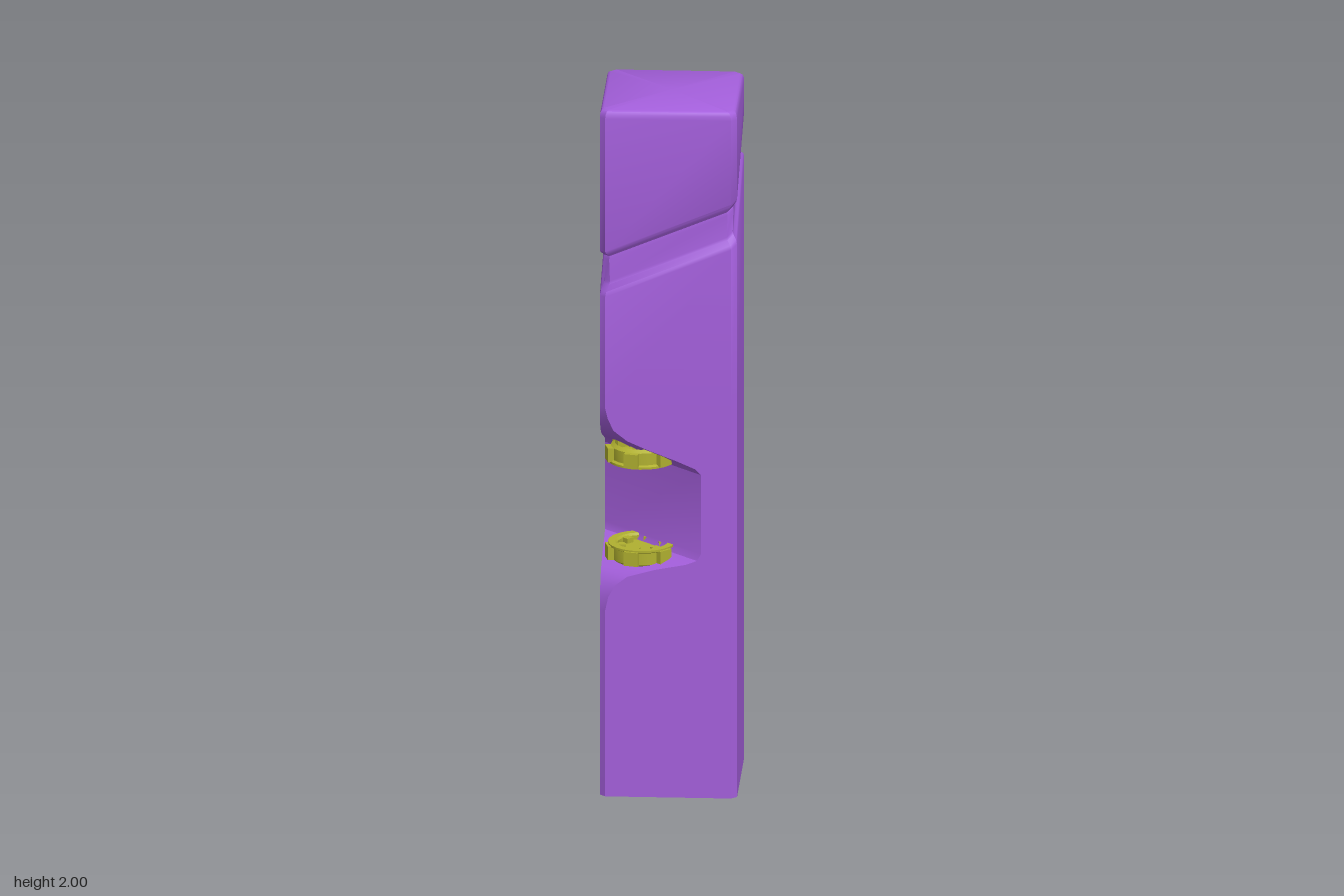
import * as THREE from 'three';
import { toCreasedNormals } from 'three/addons/utils/BufferGeometryUtils.js';

const CLIP = 0.258; // distance of the chamfered corners from the axis
const SIDE = 0.269; // |x| + |z| on the flat sides
const TILT = 0.58; // slope of the slanted band

// One diamond cross-section; "front" pushes the front corner back to form the notch
function ring({ y, inset = 0, front = CLIP, tilt = 0 }) {
  const s = SIDE - inset, c = CLIP - inset, k = s - c;
  const f = Math.min(front, c), w = s - f;
  return [[c, k], [c, -k], [k, -c], [-k, -c], [-c, -k], [-c, k], [-w, f], [w, f]]
    .map(([x, z]) => [x, y - tilt * z, z]);
}

function loft(sections, apexY) {
  const rings = sections.map(ring);
  const n = rings[0].length;
  const pos = rings.flat(2);
  const index = [];
  for (let i = 0; i < rings.length - 1; i++) {
    for (let j = 0; j < n; j++) {
      const a = i * n + j, b = i * n + (j + 1) % n;
      index.push(a, b, b + n, a, b + n, a + n);
    }
  }
  // Low domed cap
  const last = (rings.length - 1) * n;
  pos.push(0, apexY, 0);
  for (let j = 0; j < n; j++) index.push(last + j, last + (j + 1) % n, rings.length * n);
  const geo = new THREE.BufferGeometry();
  geo.setAttribute('position', new THREE.Float32BufferAttribute(pos, 3));
  geo.setIndex(index);
  return toCreasedNormals(geo, 0.6);
}

// Round socket with lugs, opening towards +y
function makeSocket(name, material) {
  const socket = new THREE.Group();
  socket.name = name;
  const add = (geo, part) => {
    const mesh = new THREE.Mesh(geo, material);
    mesh.name = part;
    socket.add(mesh);
    return mesh;
  };
  const profile = [[0.075, -0.026], [0.086, -0.018], [0.086, 0.016], [0.094, 0.02],
    [0.094, 0.026], [0.074, 0.026], [0.068, 0.02], [0.068, 0.008], [0, 0.008]]
    .map(([r, y]) => new THREE.Vector2(r, y));
  add(toCreasedNormals(new THREE.LatheGeometry(profile, 24), 0.5), 'socketRim');
  for (let i = 0; i < 6; i++) {
    const a = i * Math.PI / 3;
    const place = (mesh, r, y) => {
      mesh.position.set(Math.cos(a) * r, y, Math.sin(a) * r);
      mesh.rotation.y = -a;
    };
    place(add(new THREE.BoxGeometry(0.024, 0.04, 0.04), 'outerLug'), 0.088, 0.002);
    place(add(new THREE.BoxGeometry(0.026, 0.014, 0.022), 'innerLug'), 0.06, 0.015);
  }
  return socket;
}

export function createModel() {
  const group = new THREE.Group();
  const purple = new THREE.MeshStandardMaterial({ color: 0xa45fdc, side: THREE.DoubleSide });
  const yellow = new THREE.MeshStandardMaterial({ color: 0xb0b030 });

  // Notch profile: height and depth of the front corner
  const notch = [[0.54, CLIP], [0.58, 0.252], [0.615, 0.238], [0.64, 0.215], [0.662, 0.16],
    [0.678, 0.1], [0.69, 0.078], [0.71, 0.07], [0.94, 0.07], [0.957, 0.082], [0.98, 0.12],
    [1.01, 0.175], [1.035, 0.215], [1.065, 0.242], [1.1, 0.253], [1.13, CLIP]]
    .map(([y, front]) => ({ y, front }));

  // Slanted groove running around the head
  const groove = [[1.603, 0], [1.615, 0.004], [1.628, 0.015], [1.636, 0.018],
    [1.7, 0.015], [1.709, 0.017], [1.716, 0.012], [1.727, 0.003], [1.735, 0]]
    .map(([y, inset]) => ({ y, inset, tilt: TILT }));

  // Column, open at the bottom
  const column = new THREE.Mesh(loft([
    { y: 0 }, ...notch, ...groove,
    { y: 1.972 }, { y: 1.984, inset: 0.002 }, { y: 1.992, inset: 0.007 }, { y: 1.996, inset: 0.015 },
  ], 2), purple);
  column.name = 'column';
  group.add(column);

  // Facing pair of sockets in the notch
  const lower = makeSocket('lowerSocket', yellow);
  lower.position.set(0, 0.684, 0.112);
  const upper = makeSocket('upperSocket', yellow);
  upper.position.set(0, 0.973, 0.112);
  upper.rotation.z = Math.PI;
  group.add(lower, upper);

  return group;
}
